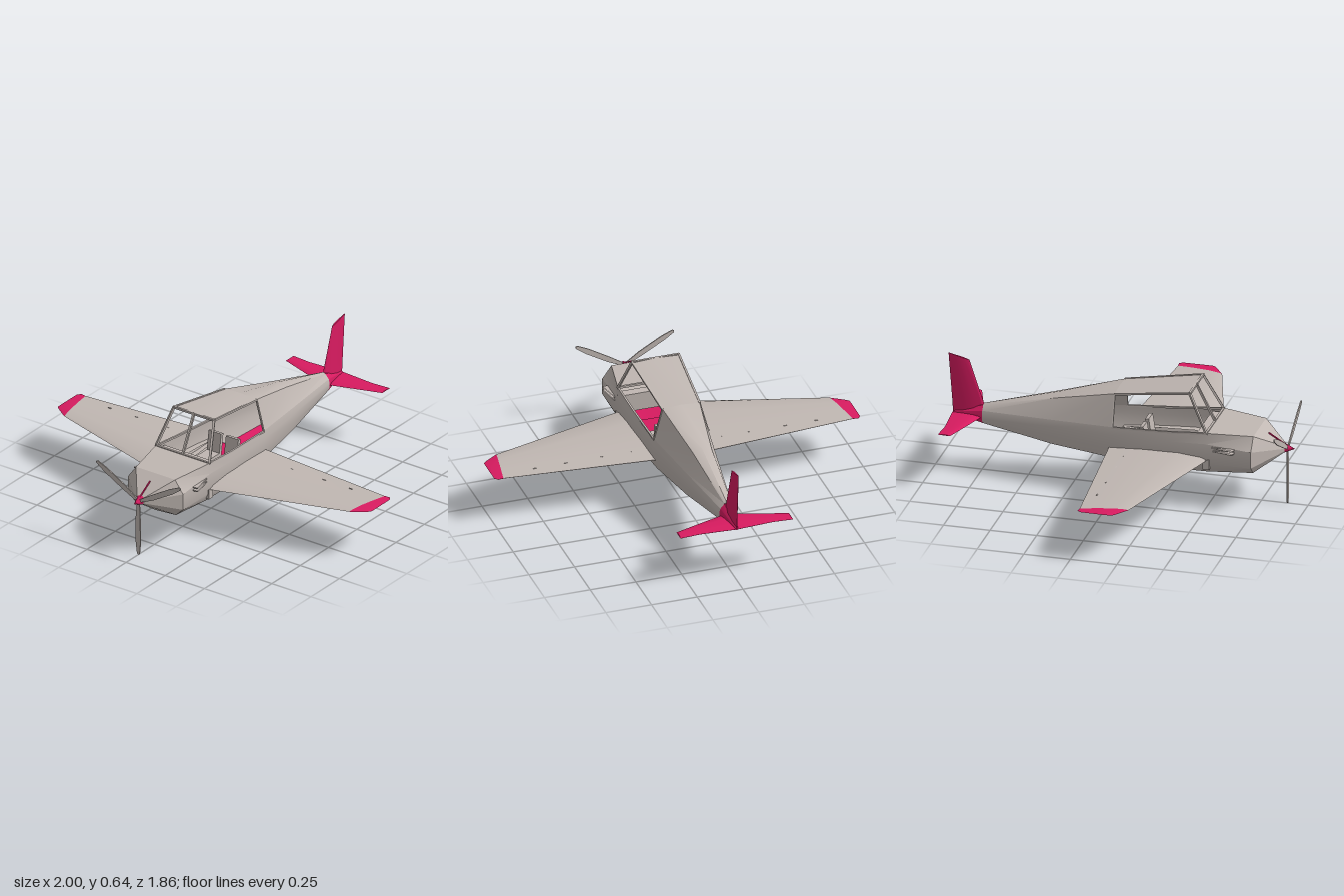
import * as THREE from 'three';
import { toCreasedNormals } from 'three/addons/utils/BufferGeometryUtils.js';

const paint = new THREE.MeshStandardMaterial({ color: 0xc0b7b2, side: THREE.DoubleSide });
paint.name = 'warm grey';
const trim = new THREE.MeshStandardMaterial({ color: 0xd81b60, side: THREE.DoubleSide });
trim.name = 'crimson';

// Skin stretched over rows of points, with equal counts per row
function loft(rows, crease = 0.45) {
  const n = rows[0].length, index = [];
  for (let r = 0; r < rows.length - 1; r++) {
    for (let i = 0; i < n - 1; i++) {
      const a = r * n + i, b = a + n;
      index.push(a, a + 1, b, a + 1, b + 1, b);
    }
  }
  const g = new THREE.BufferGeometry();
  g.setAttribute('position', new THREE.Float32BufferAttribute(rows.flat(2), 3));
  g.setIndex(index);
  return toCreasedNormals(g, crease);
}

// Tapered aerofoil: each station is [leading a, leading z, trailing a, trailing z, thickness]
function aerofoil(stations, place) {
  const chord = [[0, 0], [0.06, 0.55], [0.3, 1], [0.65, 0.7], [1, 0.06]];
  const outline = [...chord, ...chord.slice().reverse().map(([f, h]) => [f, -h])];
  return loft(stations.map(([la, lz, ta, tz, t]) => outline.map(([f, h]) =>
    place(la + (ta - la) * f, h * t / 2, lz + (tz - lz) * f))));
}

export function createModel() {
  const model = new THREE.Group();
  model.name = 'lightAircraft';

  function add(name, geometry, material, parent = model) {
    const m = new THREE.Mesh(geometry, material);
    m.name = name;
    parent.add(m);
    return m;
  }
  function box(name, w, h, d, x, y, z, material = paint) {
    const m = add(name, new THREE.BoxGeometry(w, h, d), material);
    m.position.set(x, y, z);
    return m;
  }
  function bar(name, a, b, t = 0.012) {
    const p = new THREE.Vector3(...a), q = new THREE.Vector3(...b);
    const m = add(name, new THREE.BoxGeometry(t, t, p.distanceTo(q) + t * 0.5), paint);
    m.position.copy(p).add(q).multiplyScalar(0.5);
    m.lookAt(q);
  }

  // Hull stations: z, keel y, then x,y of chine, low side, high side, sill
  const hull = [
    [0.74, 0.197, 0.13, 0.207, 0.175, 0.25, 0.175, 0.34, 0.125, 0.41],
    [0.5, 0.165, 0.147, 0.195, 0.175, 0.25, 0.176, 0.36, 0.172, 0.42],
    [0.3, 0.155, 0.147, 0.193, 0.17, 0.26, 0.17, 0.35, 0.165, 0.405],
    [-0.01, 0.17, 0.13, 0.205, 0.15, 0.27, 0.152, 0.34, 0.148, 0.385],
    [-0.35, 0.19, 0.085, 0.225, 0.098, 0.28, 0.1, 0.33, 0.095, 0.365],
    [-0.74, 0.26, 0.03, 0.275, 0.04, 0.3, 0.04, 0.325, 0.035, 0.345],
  ];
  const sidePoints = (h, s) => [2, 4, 6, 8].map(i => [s * h[i], h[i + 1], h[0]]);
  add('belly', loft(hull.map(h => [[-h[2], h[3], h[0]], [0, h[1], h[0]], [h[2], h[3], h[0]]])), trim);
  for (const s of [-1, 1]) add('hullSide', loft(hull.map(h => sidePoints(h, s)), 0.6), paint);

  // Cowling top and tapered nose
  add('cowlTop', loft(hull.slice(0, 2).map(h => [[-h[8], h[9], h[0]], [h[8], h[9], h[0]]])), paint);
  const h0 = hull[0];
  const rim = [[0, h0[1], h0[0]], ...sidePoints(h0, 1), ...sidePoints(h0, -1).reverse(), [0, h0[1], h0[0]]];
  const tip = rim.map(([x, y]) => [x * 0.13, 0.31 + (y - 0.31) * 0.15, 0.88]);
  add('noseCowl', loft([rim, tip], 0.2), paint);

  // Rear upper fuselage: z, sill x,y, shoulder x,y, crown y
  const rear = [
    [-0.01, 0.148, 0.385, 0.102, 0.555, 0.562],
    [-0.35, 0.095, 0.365, 0.052, 0.47, 0.484],
    [-0.74, 0.035, 0.345, 0.013, 0.37, 0.376],
  ];
  add('rearDeck', loft(rear.map(([z, sx, sy, tx, ty, c]) => [
    [-sx, sy, z], [-tx, ty, z], [0, c, z], [tx, ty, z], [sx, sy, z]]), 0.6), paint);

  // Crimson tail cone closing the hull
  const tailRing = [[0, 0.26], [0.03, 0.275], [0.04, 0.3], [0.04, 0.325], [0.035, 0.345], [0.013, 0.37],
    [-0.013, 0.37], [-0.035, 0.345], [-0.04, 0.325], [-0.04, 0.3], [-0.03, 0.275], [0, 0.26]];
  add('tailCone', loft([
    tailRing.map(([x, y]) => [x, y, -0.74]),
    tailRing.map(([x, y]) => [x * 0.15, 0.307 + (y - 0.307) * 0.1, -0.905])]), trim);

  // Cabin roof, pillars and window frames
  add('roof', loft([
    [[-0.128, 0.615, 0.4], [0, 0.622, 0.4], [0.128, 0.615, 0.4]],
    [[-0.102, 0.555, -0.01], [0, 0.562, -0.01], [0.102, 0.555, -0.01]]]), paint);
  bar('windscreenPost', [0, 0.42, 0.5], [0, 0.617, 0.4]);
  bar('windscreenTop', [-0.128, 0.615, 0.4], [0.128, 0.615, 0.4]);
  bar('windscreenBase', [-0.17, 0.418, 0.5], [0.17, 0.418, 0.5]);
  for (const s of [-1, 1]) {
    const base = [s * 0.17, 0.418, 0.5], top = [s * 0.128, 0.615, 0.4];
    const rearTop = [s * 0.102, 0.553, -0.01], rearBase = [s * 0.148, 0.383, -0.01];
    bar('frontPillar', base, top);
    bar('roofRail', top, rearTop, 0.01);
    bar('rearPillar', rearTop, rearBase, 0.008);
    bar('windowSill', [s * 0.163, 0.4, 0.3], rearBase, 0.01);
    bar('windowSill', base, [s * 0.163, 0.4, 0.3], 0.01);
  }

  // Cabin interior
  add('cabinFloor', loft([[[-0.15, 0.225, 0.46], [0.15, 0.225, 0.46]],
    [[-0.135, 0.225, -0.03], [0.135, 0.225, -0.03]]]), trim);
  box('instrumentPanel', 0.32, 0.1, 0.05, 0, 0.35, 0.465);
  for (const x of [-0.055, 0.055]) {
    box('seatCushion', 0.08, 0.03, 0.11, x, 0.26, 0.2);
    box('seatBack', 0.08, 0.13, 0.02, x, 0.315, 0.14).rotation.x = -0.15;
  }

  // Wings with crimson tips, hinge fittings and root fairings
  const cut = [0.91, 0.287, 0.955, 0.038, 0.016];
  for (const s of [-1, 1]) {
    const place = (a, h, z) => [s * a, 0.268 + a * 0.005 + h, z];
    const wing = new THREE.Group();
    wing.name = s > 0 ? 'leftWing' : 'rightWing';
    model.add(wing);
    add('wingPanel', aerofoil([[0.13, 0.518, 0.13, -0.03, 0.05], cut], place), paint, wing);
    add('wingTip', aerofoil([cut, [0.985, 0.235, 0.985, 0.034, 0.009], [1, 0.22, 1, 0.052, 0.002]], place), trim, wing);
    for (const x of [0.25, 0.4, 0.6, 0.77]) box('hingeFitting', 0.018, 0.014, 0.006, s * x, 0.272, 0.08);
    box('wingRootFairing', 0.02, 0.055, 0.035, s * 0.17, 0.245, 0.5);
  }

  // Cheek louvres on the cowling
  for (const s of [-1, 1]) {
    for (const y of [0.33, 0.348]) {
      add('cheekLouvre', loft([
        [[s * 0.165, y, 0.655], [s * 0.203, y, 0.65]],
        [[s * 0.165, y, 0.53], [s * 0.178, y, 0.53]],
        [[s * 0.165, y - 0.006, 0.53], [s * 0.178, y - 0.006, 0.53]],
        [[s * 0.165, y - 0.006, 0.655], [s * 0.203, y - 0.006, 0.65]],
        [[s * 0.165, y, 0.655], [s * 0.203, y, 0.65]]]), paint);
    }
  }

  // Tailplane and fin
  for (const s of [-1, 1]) {
    add('tailplane', aerofoil([[0, -0.735, 0, -0.908, 0.016], [0.2, -0.8, 0.2, -0.895, 0.011],
      [0.305, -0.835, 0.305, -0.903, 0.006], [0.308, -0.836, 0.308, -0.902, 0]],
      (a, h, z) => [s * a, 0.307 + h, z]), trim);
  }
  const finTop = [0.61, -0.818, 0.638, -0.93];
  add('fin', aerofoil([[0.3, -0.75, 0.305, -0.905, 0.03], [0.375, -0.74, 0.38, -0.91, 0.026],
    [...finTop, 0.01], [...finTop, 0]], (a, h, z) => [h, a, z]), trim);

  // Spinner, nose stripe and three-blade propeller
  const propeller = new THREE.Group();
  propeller.name = 'propeller';
  propeller.position.set(0, 0.31, 0.89);
  model.add(propeller);
  const spinner = add('spinner', new THREE.ConeGeometry(0.028, 0.06, 8), trim, propeller);
  spinner.rotation.x = Math.PI / 2;
  spinner.position.z = 0.01;
  const bladeShape = new THREE.Shape([[-0.007, 0], [-0.017, -0.1], [-0.016, -0.24], [-0.008, -0.305], [0, -0.31],
    [0.008, -0.305], [0.014, -0.24], [0.012, -0.1], [0.007, 0]].map(p => new THREE.Vector2(...p)));
  const bladeGeometry = new THREE.ExtrudeGeometry(bladeShape, { depth: 0.006, bevelEnabled: false });
  bladeGeometry.translate(0, 0, -0.003);
  for (let i = 0; i < 3; i++) {
    add('blade', bladeGeometry, paint, propeller).rotation.z = i * Math.PI * 2 / 3;
  }
  const stripe = box('noseStripe', 0.006, 0.006, 0.11, 0, 0.357, 0.835, trim);
  stripe.rotation.x = 0.55;

  return model;
}
